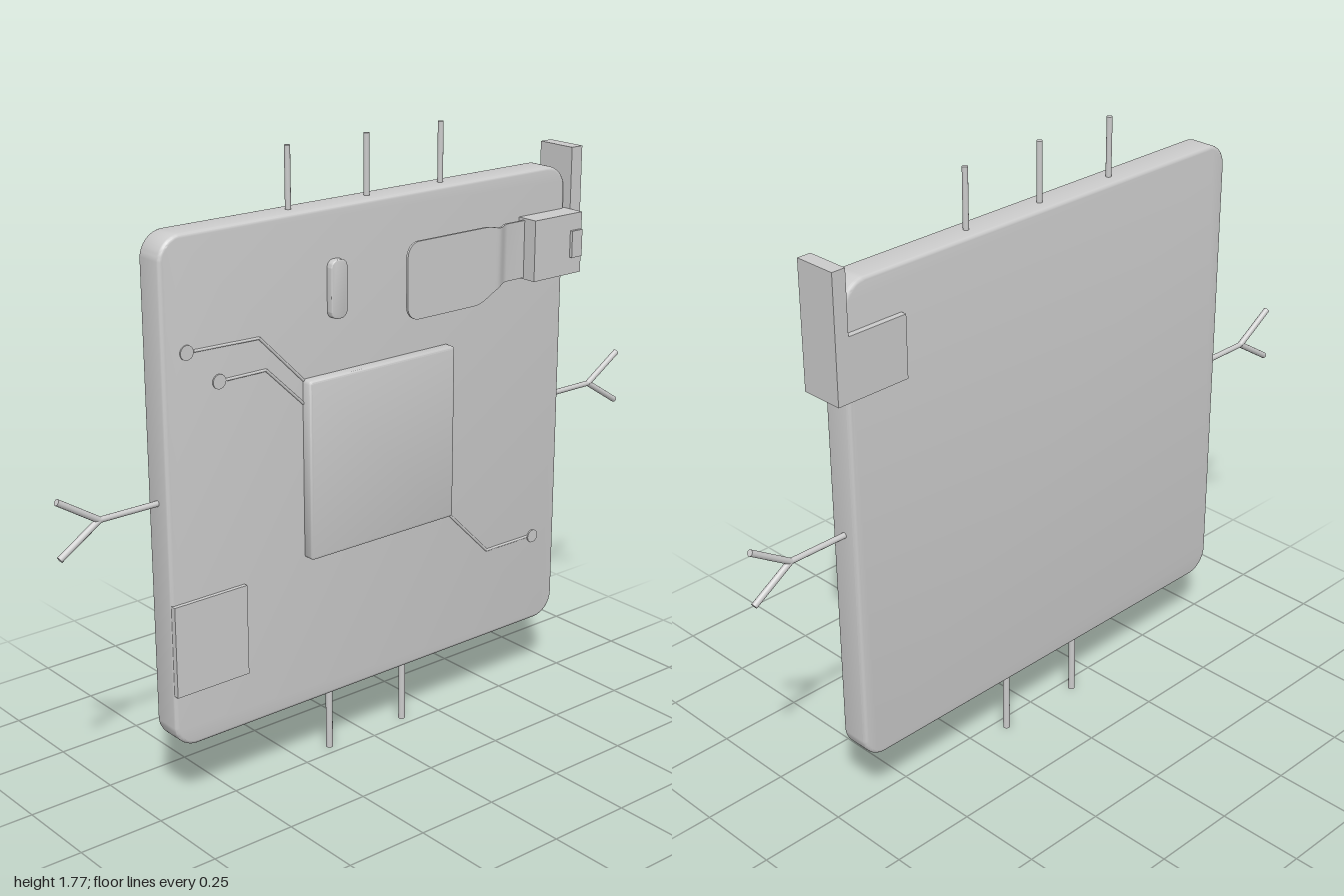
import * as THREE from 'three';
import { toCreasedNormals } from 'three/addons/utils/BufferGeometryUtils.js';

const BOARD_FRONT = 0.016, BOARD_BACK = -0.073, MID = -0.03;

export function createModel() {
  const model = new THREE.Group();
  const material = new THREE.MeshStandardMaterial({ color: 0xcccccc, roughness: 0.7 });

  const add = (name, geometry) => {
    const mesh = new THREE.Mesh(geometry, material);
    mesh.name = name;
    model.add(mesh);
    return mesh;
  };

  // Box given by its extents
  const box = (name, x0, x1, y0, y1, z0, z1) =>
    add(name, new THREE.BoxGeometry(x1 - x0, y1 - y0, z1 - z0))
      .position.set((x0 + x1) / 2, (y0 + y1) / 2, (z0 + z1) / 2);

  // Rounded plate with bevelled edges, given by its extents
  const plate = (name, x0, x1, y0, y1, z0, z1, r, bevel) => {
    const a = x0 + bevel, b = x1 - bevel, c = y0 + bevel, d = y1 - bevel;
    const s = new THREE.Shape();
    s.moveTo(a + r, c);
    s.lineTo(b - r, c);
    s.absarc(b - r, c + r, r, -Math.PI / 2, 0);
    s.absarc(b - r, d - r, r, 0, Math.PI / 2);
    s.absarc(a + r, d - r, r, Math.PI / 2, Math.PI);
    s.absarc(a + r, c + r, r, Math.PI, Math.PI * 1.5);
    const g = new THREE.ExtrudeGeometry(s, {
      depth: z1 - z0 - 2 * bevel, curveSegments: 8,
      bevelEnabled: true, bevelThickness: bevel, bevelSize: bevel, bevelSegments: 3,
    });
    g.translate(0, 0, z0 + bevel);
    return add(name, toCreasedNormals(g, 0.6));
  };

  // Round rod between two points
  const rod = (name, from, to, r) => {
    const p = new THREE.Vector3(...from), q = new THREE.Vector3(...to);
    const dir = q.clone().sub(p);
    const mesh = add(name, new THREE.CylinderGeometry(r, r, dir.length(), 12));
    mesh.position.copy(p).add(q).multiplyScalar(0.5);
    mesh.quaternion.setFromUnitVectors(new THREE.Vector3(0, 1, 0), dir.normalize());
  };

  // Board, central chip and corner label
  plate('board', -0.7, 0.7, 0.2, 1.6, BOARD_BACK, BOARD_FRONT, 0.06, 0.01);
  plate('chip', -0.26, 0.255, 0.64, 1.15, 0.005, 0.048, 0.002, 0.008);
  box('label', -0.698, -0.465, 0.36, 0.62, 0.01, 0.028);

  // Small rounded buttons, one of them behind the blade
  for (const x of [-0.148, 0.148])
    plate('slotButton', x - 0.027, x + 0.027, 1.3, 1.46, 0.005, 0.036, 0.018, 0.003);

  // Pins on the top and bottom edges
  for (const x of [-0.265, -0.002, 0.26]) rod('topPin', [x, 1.58, MID], [x, 1.767, MID], 0.008);
  for (const x of [-0.14, 0.135]) rod('bottomPin', [x, 0, -0.035], [x, 0.22, -0.035], 0.01);

  // Forked side arms
  for (const s of [-1, 1]) {
    rod('arm', [s * 0.68, 0.895, MID], [s * 0.88, 0.895, MID], 0.008);
    for (const y of [0.972, 0.818]) rod('armFork', [s * 0.875, 0.895, MID], [s * 0.995, y, MID], 0.009);
  }

  // Circuit traces, each ending in a small round pad
  const traces = [
    [[-0.25, 1.14], [-0.4, 1.29], [-0.605, 1.295], [-0.627, 1.295]],
    [[-0.25, 1.075], [-0.38, 1.2], [-0.51, 1.2], [-0.53, 1.2]],
    [[0.25, 0.65], [0.42, 0.48], [0.585, 0.48], [0.607, 0.477]],
  ];
  for (const t of traces) {
    for (let i = 0; i < 2; i++)
      rod('trace', [...t[i], BOARD_FRONT], [...t[i + 1], BOARD_FRONT], 0.004);
    const pad = add('tracePad', new THREE.CylinderGeometry(0.02, 0.02, 0.008, 20));
    pad.rotation.x = Math.PI / 2;
    pad.position.set(...t[3], BOARD_FRONT);
  }

  // Clamp gripping the board's edge
  box('clampSidePlate', 0.704, 0.745, 1.296, 1.65, -0.09, 0.036);
  box('clampFrontBlock', 0.52, 0.705, 1.296, 1.472, 0.012, 0.083);
  box('clampBackPlate', 0.52, 0.705, 1.296, 1.472, -0.09, -0.068);
  box('clampButton', 0.66, 0.7, 1.345, 1.423, 0.075, 0.092);

  // Bent blade: a thin box whose outline and height follow x
  const { smoothstep } = THREE.MathUtils;
  const xs = [];
  for (let i = 0; i <= 8; i++) xs.push(0.063 + 0.04 * (1 - Math.cos(i * Math.PI / 16)));
  for (let i = 0; i <= 18; i++) xs.push(0.3 + i * 0.0085);
  xs.push(0.53);
  const blade = new THREE.BoxGeometry(1, 1, 0.007, xs.length - 1, 1, 1);
  const p = blade.attributes.position;
  for (let i = 0; i < p.count; i++) {
    const x = xs[Math.round((p.getX(i) + 0.5) * (xs.length - 1))];
    const d = Math.max(0, 0.103 - x);
    const corner = 0.04 - Math.sqrt(Math.max(0, 0.0016 - d * d));
    const y = p.getY(i) > 0
      ? 1.476 - corner - 0.01 * smoothstep(x, 0.35, 0.415)
      : 1.259 + corner + 0.041 * smoothstep(x, 0.31, 0.425);
    p.setXYZ(i, x, y, p.getZ(i) + 0.062 - 0.026 * smoothstep(x, 0.395, 0.455));
  }
  blade.computeVertexNormals();
  add('blade', toCreasedNormals(blade, 0.6));

  return model;
}
